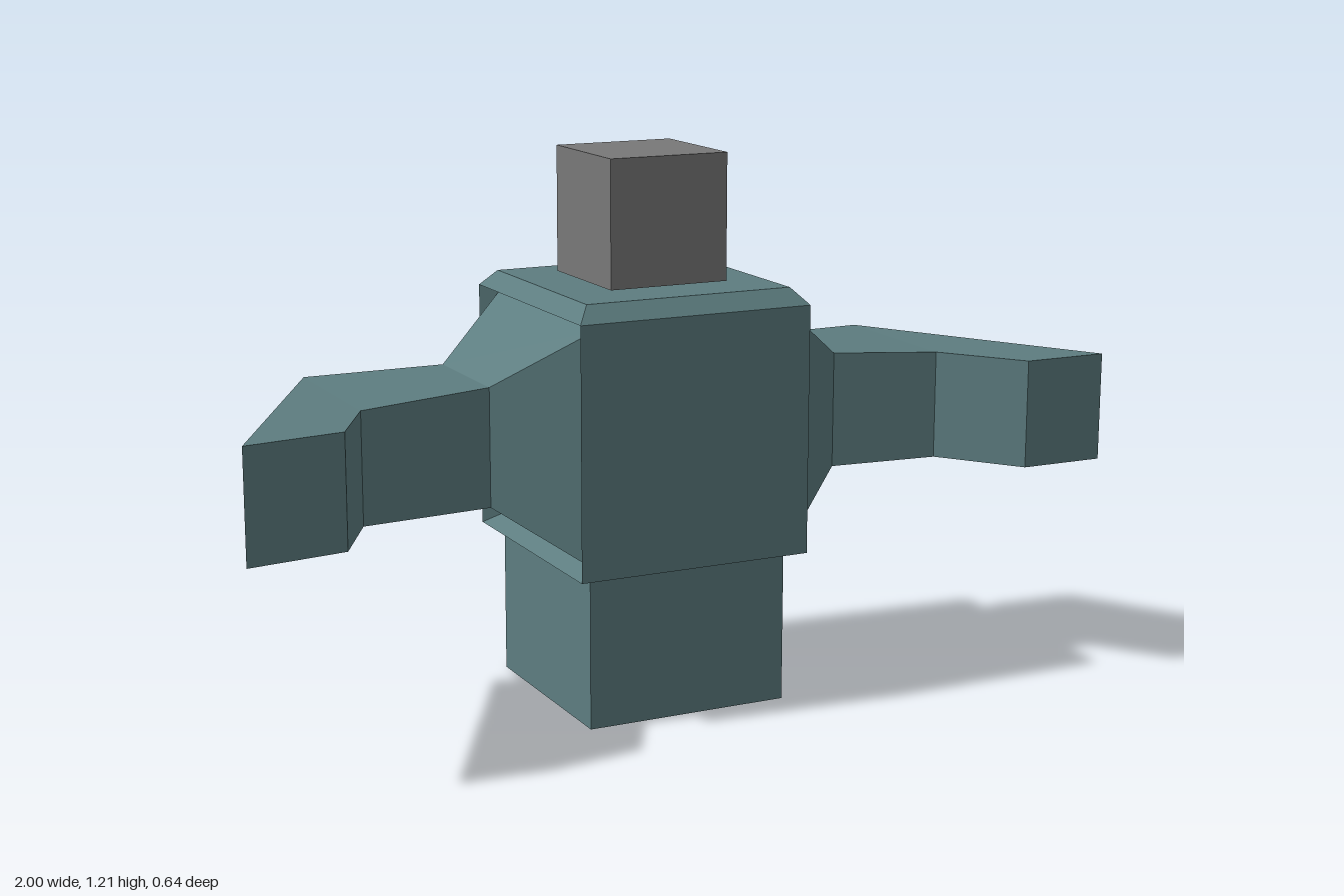
import * as THREE from 'three';

const teal = new THREE.MeshStandardMaterial({ color: 0x5d7d80, flatShading: true });
const grey = new THREE.MeshStandardMaterial({ color: 0x787878, flatShading: true });

// Four-cornered section across x; back and front edges may sit at different x.
const xRing = (xBack, xFront, y0, y1, z0, z1) =>
  [[xBack, y0, z0], [xBack, y1, z0], [xFront, y1, z1], [xFront, y0, z1]];

// Four-cornered section across y.
const yRing = (y, x0, x1, z0, z1) => [[x0, y, z0], [x0, y, z1], [x1, y, z1], [x1, y, z0]];

// Skins a list of sections (ordered along the positive axis) with flat faces.
function loft(name, rings, { start = false, end = false } = {}) {
  const pos = [];
  const quad = (a, b, c, d) => pos.push(...a, ...b, ...c, ...a, ...c, ...d);
  for (let r = 0; r < rings.length - 1; r++) {
    const a = rings[r], b = rings[r + 1];
    for (let i = 0; i < 4; i++) {
      const j = (i + 1) % 4;
      quad(a[i], a[j], b[j], b[i]);
    }
  }
  if (start) quad(...[...rings[0]].reverse());
  if (end) quad(...rings[rings.length - 1]);
  const geo = new THREE.BufferGeometry();
  geo.setAttribute('position', new THREE.Float32BufferAttribute(pos, 3));
  geo.computeVertexNormals();
  const mesh = new THREE.Mesh(geo, teal);
  mesh.name = name;
  return mesh;
}

export function createModel() {
  const model = new THREE.Group();
  model.name = 'blockyFigure';

  // Sunken shoulder sockets on both sides of the torso
  const rightSocket = xRing(-0.21, -0.21, 0.36, 0.875, -0.305, 0.21);
  const leftSocket = xRing(0.25, 0.25, 0.36, 0.875, -0.305, 0.21);

  // Torso block with inset sides
  model.add(loft('torso', [
    rightSocket,
    xRing(-0.25, -0.25, 0.34, 0.89, -0.325, 0.222),
    xRing(0.29, 0.29, 0.34, 0.89, -0.325, 0.222),
    leftSocket,
  ]));

  // Arms: tapering shoulder, upper arm, forearm bent forward
  model.add(loft('leftArm', [
    leftSocket,
    xRing(0.433, 0.433, 0.488, 0.747, -0.184, 0.08),
    xRing(0.67, 0.67, 0.495, 0.737, -0.233, 0.128),
    xRing(0.995, 0.8, 0.495, 0.737, 0.305, 0.302),
  ], { end: true }));
  model.add(loft('rightArm', [
    xRing(-1, -0.785, 0.495, 0.737, 0.318, 0.29),
    xRing(-0.695, -0.695, 0.495, 0.737, -0.233, 0.128),
    xRing(-0.395, -0.395, 0.488, 0.747, -0.184, 0.08),
    rightSocket,
  ], { start: true }));

  // Bevelled top of the torso
  model.add(loft('collar', [
    yRing(0.89, -0.25, 0.29, -0.325, 0.222),
    yRing(0.926, -0.22, 0.258, -0.288, 0.187),
  ], { end: true }));

  // Lower body with a shallow sloped recess underneath
  model.add(loft('lowerBody', [
    yRing(0.02, -0.127, 0.165, -0.194, 0.098),
    yRing(0, -0.162, 0.2, -0.229, 0.133),
    yRing(0, -0.214, 0.252, -0.281, 0.185),
    yRing(0.34, -0.214, 0.252, -0.281, 0.185),
  ], { start: true }));

  // Head floats just above the collar
  const head = new THREE.Mesh(new THREE.BoxGeometry(0.275, 0.278, 0.277), grey);
  head.name = 'head';
  head.position.set(0.019, 1.071, -0.05);
  model.add(head);

  return model;
}
